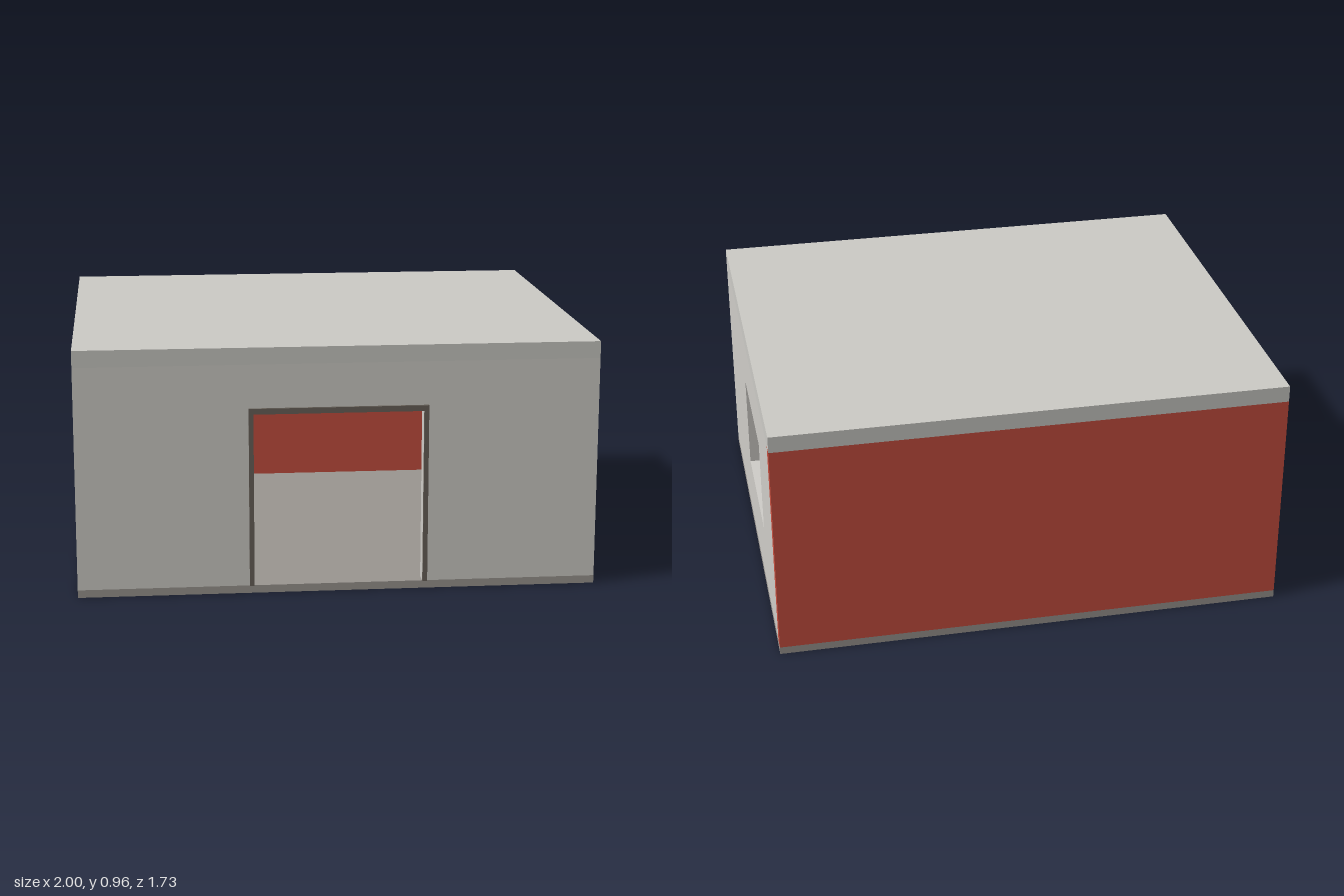
import * as THREE from 'three';

const BACK = -0.867, FRONT = 0.857; // outer wall faces along z
const FLOOR = 0.03, CEILING = 0.895, TOP = 0.96;
const WALL = 0.055; // wall thickness

const material = (color) => new THREE.MeshStandardMaterial({ color });

// Rectangle outline as corner points
const rect = (x0, y0, x1, y1) => [
  new THREE.Vector2(x0, y0), new THREE.Vector2(x1, y0),
  new THREE.Vector2(x1, y1), new THREE.Vector2(x0, y1),
];

const extrude = (shape, depth) =>
  new THREE.ExtrudeGeometry(shape, { depth, bevelEnabled: false });

export function createModel() {
  const group = new THREE.Group();
  const plaster = material(0xd0cec9);
  const roofGrey = material(0xcccbc6);
  const floorGrey = material(0x9b9691);
  const frameGrey = material(0x69625a);
  const red = material(0xc84f3f);

  const add = (name, geometry, mat) => {
    const mesh = new THREE.Mesh(geometry, mat);
    mesh.name = name;
    group.add(mesh);
    return mesh;
  };

  // Box given by its lower and upper corners
  const box = (name, mat, x0, y0, z0, x1, y1, z1) => {
    const geometry = new THREE.BoxGeometry(x1 - x0, y1 - y0, z1 - z0);
    geometry.translate((x0 + x1) / 2, (y0 + y1) / 2, (z0 + z1) / 2);
    return add(name, geometry, mat);
  };

  // Slabs and the full-width coloured back wall
  box('floor', floorGrey, -1, 0, BACK, 1, FLOOR, FRONT);
  box('roof', roofGrey, -1, CEILING, BACK, 1, TOP, FRONT);
  box('backWall', red, -1, FLOOR, BACK, 1, CEILING, BACK + WALL);

  // Front wall with a doorway that reaches the floor
  const doorHalf = 0.325, doorTop = 0.705;
  const frontShape = new THREE.Shape([
    [-1, FLOOR], [-doorHalf, FLOOR], [-doorHalf, doorTop], [doorHalf, doorTop],
    [doorHalf, FLOOR], [1, FLOOR], [1, CEILING], [-1, CEILING],
  ].map(([x, y]) => new THREE.Vector2(x, y)));
  add('frontWall', extrude(frontShape, WALL), plaster).position.z = FRONT - WALL;

  // Side walls between front and back; the one at +x has a window
  const z0 = BACK + WALL, z1 = FRONT - WALL;
  const sideShape = new THREE.Shape(rect(z0, FLOOR, z1, CEILING));
  sideShape.holes.push(new THREE.Path(rect(-0.41, 0.297, 0.135, 0.68)));
  const windowWall = add('windowWall', extrude(sideShape, WALL), plaster);
  windowWall.rotation.y = -Math.PI / 2;
  windowWall.position.x = 1;
  box('plainWall', plaster, -1, FLOOR, z0, -1 + WALL, CEILING, z1);

  // Thin door surround standing proud of the front wall
  const edge = 0.343, head = 0.727;
  const surround = new THREE.Shape([
    [-edge, FLOOR], [-doorHalf, FLOOR], [-doorHalf, doorTop], [doorHalf, doorTop],
    [doorHalf, FLOOR], [edge, FLOOR], [edge, head], [-edge, head],
  ].map(([x, y]) => new THREE.Vector2(x, y)));
  add('doorFrame', extrude(surround, 0.01), frameGrey).position.z = FRONT;

  return group;
}
